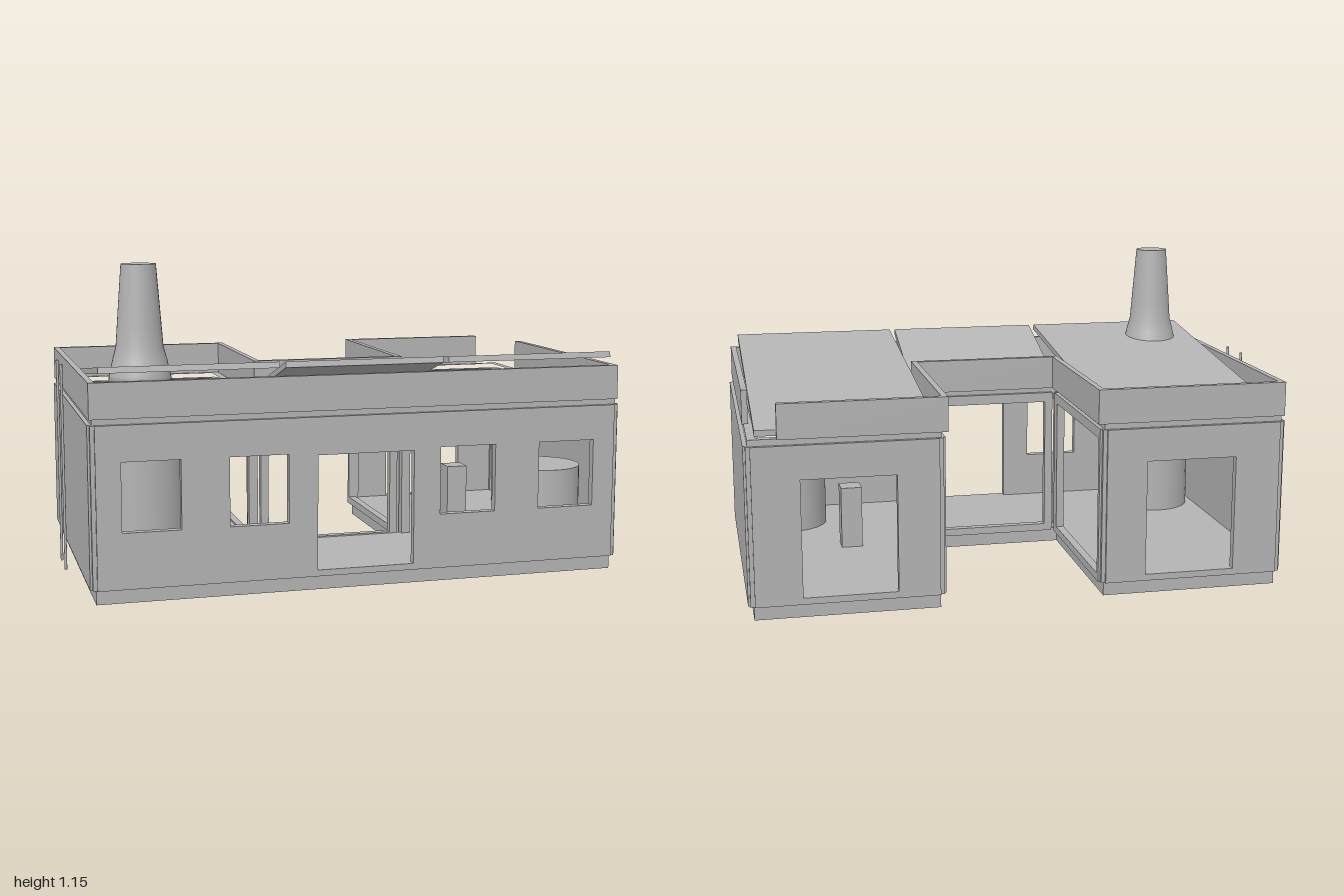
import * as THREE from 'three';

const grey = new THREE.MeshStandardMaterial({ color: 0xb4b4b4 });
const CX = 0.0175; // symmetry plane of the house

export function createModel() {
  const model = new THREE.Group();

  const add = (name, geometry) => {
    const mesh = new THREE.Mesh(geometry, grey);
    mesh.name = name;
    model.add(mesh);
    return mesh;
  };

  // Box given by its limits on each axis
  const box = (name, x0, x1, y0, y1, z0, z1) => {
    const g = new THREE.BoxGeometry(x1 - x0, y1 - y0, z1 - z0);
    g.translate((x0 + x1) / 2, (y0 + y1) / 2, (z0 + z1) / 2);
    return add(name, g);
  };

  const rect = (Type, x0, x1, y0, y1) => {
    const s = new Type();
    s.moveTo(x0, y0);
    s.lineTo(x1, y0);
    s.lineTo(x1, y1);
    s.lineTo(x0, y1);
    s.closePath();
    return s;
  };

  // U-shaped plan, inset by d from the wall faces
  const plan = (Type, d) => {
    const s = new Type();
    const x0 = -0.96 + d, x1 = 0.995 - d, z = 0.597 - d;
    const c0 = -0.262 - d, c1 = 0.297 + d, cz = 0.092 + d;
    [[x0, z], [x1, z], [x1, -z], [c1, -z], [c1, cz], [c0, cz], [c0, -z], [x0, -z]]
      .forEach(([x, y], i) => (i ? s.lineTo(x, y) : s.moveTo(x, y)));
    s.closePath();
    return s;
  };

  const slab = (name, d, y0, y1, thickness) => {
    const s = plan(THREE.Shape, d);
    if (thickness) s.holes.push(plan(THREE.Path, d + thickness));
    const g = new THREE.ExtrudeGeometry(s, { depth: y1 - y0, bevelEnabled: false });
    g.rotateX(Math.PI / 2).translate(0, y1, 0);
    return add(name, g);
  };

  // Wall panel with rectangular openings [u0, u1, y0, y1]
  const T = 0.03, Y0 = 0.052, Y1 = 0.622;
  const wallGeometry = (u0, u1, holes) => {
    const s = rect(THREE.Shape, u0, u1, Y0, Y1);
    holes.forEach((h) => s.holes.push(rect(THREE.Path, ...h)));
    return new THREE.ExtrudeGeometry(s, { depth: T, bevelEnabled: false });
  };
  const wallZ = (name, x0, x1, z, holes = []) =>
    add(name, wallGeometry(x0, x1, holes).translate(0, 0, z));
  const wallX = (name, z0, z1, x, holes = []) =>
    add(name, wallGeometry(-z1, -z0, holes).rotateY(Math.PI / 2).translate(x, 0, 0));

  // Base, floor and the recessed band under the eaves
  slab('plinth', 0.02, 0, 0.055);
  slab('floor', 0.025, 0.055, 0.075);
  slab('recessedBand', 0.015, 0.615, 0.645, 0.03);

  // Front wall with four windows and the entrance
  const windows = [[-0.85, -0.645], [-0.475, -0.265], [0.295, 0.505], [0.675, 0.89]];
  wallZ('frontWall', -0.937, 0.972, 0.597 - T, [
    ...windows.map(([a, b]) => [a, b, 0.25, 0.495]),
    [-0.16, 0.195, 0.075, 0.487],
  ]);

  // Outer side walls
  wallX('rightSideWall', -0.575, 0.575, -0.96);
  wallX('leftSideWall', -0.575, 0.575, 0.995 - T);

  // Rear walls of the wings, with doorways
  wallZ('rightRearWall', -0.937, -0.285, -0.597, [[-0.77, -0.435, 0.076, 0.5]]);
  wallZ('leftRearWall', 0.32, 0.972, -0.597, [[0.47, 0.805, 0.076, 0.5]]);

  // Open frames around the courtyard
  const court = [-0.04, 0.555, 0.08, 0.585];
  wallX('rightCourtFrame', -0.575, 0.085, -0.262 - T, [court]);
  wallX('leftCourtFrame', -0.575, 0.085, 0.297, [court]);
  wallZ('rearCourtFrame', -0.255, 0.29, 0.092, [[-0.225, 0.26, 0.08, 0.585]]);

  // Slim posts filling the notched corners
  const post = (x, z) =>
    box('cornerPost', x - 0.017, x + 0.017, Y0, Y1, z - 0.017, z + 0.017);
  for (const x of [-0.935, 0.97]) for (const z of [-0.572, 0.572]) post(x, z);
  for (const x of [-0.287, 0.322]) for (const z of [-0.572, 0.117]) post(x, z);

  // Parapet boards, leaving the rear corner of one wing open
  const F = 0.022, P0 = 0.642, P1 = 0.767;
  const board = (name, x0, x1, z0, z1) => box(name, x0, x1, P0, P1, z0, z1);
  board('frontParapet', -0.955, 0.985, 0.59 - F, 0.59);
  board('rightSideParapet', -0.955, -0.955 + F, -0.588, 0.59 - F);
  board('leftSideParapet', 0.985 - F, 0.985, -0.325, 0.59 - F);
  board('rightRearParapet', -0.955 + F, -0.253, -0.588, -0.588 + F);
  board('leftRearParapet', 0.288, 0.88, -0.588, -0.588 + F);
  board('rightCourtParapet', -0.253 - F, -0.253, -0.588 + F, 0.085 + F);
  board('leftCourtParapet', 0.288, 0.288 + F, -0.588 + F, 0.085 + F);
  board('rearCourtParapet', -0.253, 0.288, 0.085, 0.085 + F);

  // Sloping roof panels, high at the front
  const roof = (name, x0, x1, zBack, yBack) => {
    const s = new THREE.Shape();
    s.moveTo(-0.585, 0.797);
    s.lineTo(-0.58, 0.818);
    s.lineTo(-zBack, yBack);
    s.lineTo(-zBack, yBack - 0.021);
    s.closePath();
    const g = new THREE.ExtrudeGeometry(s, { depth: x1 - x0, bevelEnabled: false });
    add(name, g.rotateY(Math.PI / 2).translate(x0, 0, 0));
  };
  roof('rightRoof', -0.92, -0.293, -0.573, 0.675);
  roof('middleRoof', -0.272, 0.306, 0.12, 0.675);
  roof('leftRoof', 0.327, 0.955, -0.573, 0.675);

  // Flared chimney
  const profile = [[0, 0.73], [0.112, 0.73], [0.108, 0.765], [0.103, 0.785], [0.095, 0.82],
    [0.083, 0.865], [0.0775, 0.94], [0.061, 1.152]].map(([r, y]) => new THREE.Vector2(r, y));
  const chimney = add('chimney', new THREE.LatheGeometry(profile, 32));
  chimney.position.set(-0.748, 0, 0.383);
  const cap = add('chimneyCap', new THREE.CircleGeometry(0.061, 32).rotateX(-Math.PI / 2));
  cap.position.set(-0.748, 1.152, 0.383);

  // Thin standing pipes beside the house
  for (const z of [0.108, -0.035]) {
    const pipe = add('pipe', new THREE.CylinderGeometry(0.005, 0.005, 0.765, 12));
    pipe.position.set(-0.995, 0.395, z);
  }

  // Round hearth, round table and small cabinets indoors
  const drum = (name, x, z, r, top) => {
    const m = add(name, new THREE.CylinderGeometry(r, r, top - 0.075, 32));
    m.position.set(x, (top + 0.075) / 2, z);
  };
  drum('hearth', -0.75, 0.36, 0.16, 0.53);
  drum('roundTable', CX + 0.765, 0.36, 0.15, 0.37);
  box('cabinet', 0.53, 0.61, 0.075, 0.31, -0.04, 0.04);
  box('wallCabinet', 0.88, 0.965, 0.075, 0.33, -0.36, -0.26);

  return model;
}
